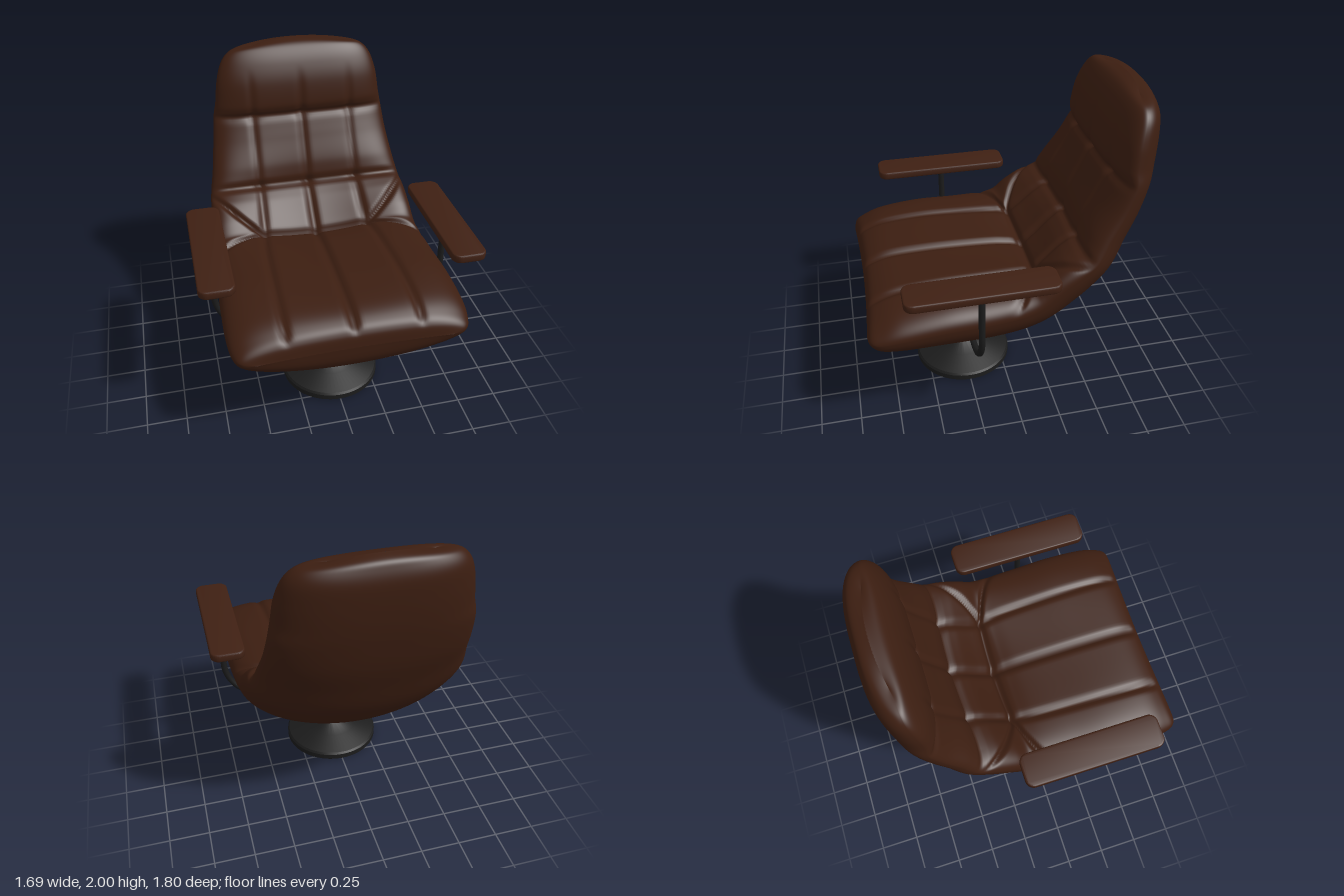
import * as THREE from 'three';
import { mergeVertices, toCreasedNormals } from 'three/addons/utils/BufferGeometryUtils.js';

const leather = new THREE.MeshStandardMaterial({ color: 0x3c1e11 });
const wood = new THREE.MeshStandardMaterial({ color: 0x3f2013 });
const metal = new THREE.MeshStandardMaterial({ color: 0x1b1b1b });
const POST_Z = 0.25;

// Stations from the front lip to the head:
// half width, inner z, inner y, outer z, outer y, forward lift of the side wings
const STATIONS = [
  [0.58, 0.90, 0.74, 0.90, 0.74, 0],
  [0.66, 0.885, 0.82, 0.885, 0.63, 0],
  [0.70, 0.83, 0.87, 0.82, 0.545, 0],
  [0.72, 0.70, 0.905, 0.68, 0.50, 0.02],
  [0.72, 0.45, 0.915, 0.45, 0.473, 0.05],
  [0.71, 0.20, 0.91, 0.20, 0.463, 0.06],
  [0.70, 0.02, 0.90, 0.03, 0.47, 0.08],
  [0.69, -0.08, 0.885, -0.12, 0.495, 0.11],
  [0.685, -0.15, 0.875, -0.28, 0.555, 0.15],
  [0.68, -0.23, 0.94, -0.43, 0.65, 0.155],
  [0.672, -0.32, 1.03, -0.57, 0.78, 0.125],
  [0.655, -0.41, 1.115, -0.685, 0.95, 0.08],
  [0.625, -0.455, 1.25, -0.765, 1.15, 0.04],
  [0.60, -0.525, 1.40, -0.825, 1.32, 0.01],
  [0.58, -0.585, 1.54, -0.865, 1.50, 0],
  [0.56, -0.575, 1.62, -0.885, 1.63, 0],
  [0.54, -0.595, 1.76, -0.895, 1.76, 0],
  [0.505, -0.635, 1.87, -0.895, 1.87, 0],
  [0.45, -0.68, 1.945, -0.875, 1.945, 0],
  [0.38, -0.725, 1.985, -0.85, 1.983, 0],
  [0.28, -0.79, 2.0, -0.79, 2.0, 0],
];

const lerp = THREE.MathUtils.lerp;
const smooth = THREE.MathUtils.smoothstep;
const groove = (d, width) => Math.exp(-((d / width) ** 2));

// Catmull-Rom blend of the station values at s
function station(s) {
  const last = STATIONS.length - 1;
  const i = Math.min(Math.floor(s), last - 1), t = s - i;
  const at = (k) => STATIONS[THREE.MathUtils.clamp(k, 0, last)];
  const [a, b, c, d] = [at(i - 1), at(i), at(i + 1), at(i + 2)];
  return b.map((v, k) => 0.5 * (2 * v + (c[k] - a[k]) * t
    + (2 * a[k] - 5 * v + 4 * c[k] - d[k]) * t * t
    + (3 * v - a[k] - 3 * c[k] + d[k]) * t * t * t));
}

// Depth of the stitched seams in the upholstery at station s, offset x
function seamDepth(s, x) {
  const ax = Math.abs(x);
  const sideSeam = lerp(0.40, 0.33, smooth(s, 2, 11));
  const fade = smooth(s, 0.5, 2.5) * (1 - smooth(s, 14.5, 17));
  const backFade = lerp(1, 0.55, smooth(s, 9, 12));
  let depth = fade * backFade * (0.03 * groove(x, 0.025) + 0.022 * groove(ax - sideSeam, 0.025));
  // Seat-to-back seam, forking into two pleats at each corner
  const out = Math.max(0, ax - 0.36);
  depth += 0.03 * (out > 0
    ? Math.max(groove(s - 8 + out * 6, 0.25), groove(s - 8 - out * 9, 0.25))
    : groove(s - 8, 0.25));
  // Lumbar and head seams, pulled in further at the tufting points
  const tuft = groove(x, 0.05) + groove(ax - 0.33, 0.05);
  depth += (0.024 + 0.012 * tuft) * groove(s - 11, 0.2);
  depth += (0.016 + 0.012 * tuft) * groove(s - 14, 0.2);
  return depth;
}

// Padded one-piece seat and back, lofted from closed sections
function shellGeometry() {
  const rows = 180, innerN = 120, outerN = 40, ring = innerN + outerN;
  const pos = [], index = [];
  for (let i = 0; i <= rows; i++) {
    const s = (i / rows) * (STATIONS.length - 1);
    const [w, iz, iy, oz, oy, lift] = station(s);
    const len = Math.hypot(iz - oz, iy - oy);
    const nz = len > 1e-5 ? (iz - oz) / len : 0, ny = len > 1e-5 ? (iy - oy) / len : 0;
    const ez = lerp(iz, oz, 0.35) + nz * lift * 0.75, ey = lerp(iy, oy, 0.35) + ny * lift * 0.75;
    const cushion = Math.min(1, len / 0.2);
    const lip = 0.02 * (1 - smooth(s, 1, 4));
    const crown = 0.03 * smooth(s, 17, 20);
    const backPower = lerp(2, 3, smooth(s, 11, 16));
    for (let j = 0; j < ring; j++) {
      const inner = j < innerN;
      const a = inner ? (j / innerN - 0.5) * Math.PI : (0.5 - (j - innerN) / outerN) * Math.PI;
      const u = Math.sin(a), x = w * u;
      const h = Math.sqrt(Math.max(0, 1 - Math.abs(u) ** (inner ? 4.2 : backPower)));
      const wing = inner ? lift * u * u * h : 0;
      const push = inner ? wing - seamDepth(s, x) * cushion * Math.min(1, h * 1.3) : 0;
      // The lip dips in at the middle; the crown falls away to its corners
      pos.push(x, lerp(ey, inner ? iy : oy, h) + ny * push - crown * u * u,
        lerp(ez, inner ? iz : oz, h) + nz * push - lip * (1 - u * u) + crown * u * u);
    }
  }
  for (let i = 0; i < rows; i++) {
    for (let j = 0; j < ring; j++) {
      const k = (j + 1) % ring;
      const a = i * ring + j, b = i * ring + k, c = a + ring, d = b + ring;
      index.push(a, b, c, b, d, c);
    }
  }
  let g = new THREE.BufferGeometry();
  g.setAttribute('position', new THREE.Float32BufferAttribute(pos, 3));
  g.setIndex(index);
  g = mergeVertices(g, 1e-5);
  g.computeVertexNormals();
  return g;
}

// Flat slab with rounded corners and a softened rim, centred on the origin
function slab(width, depth, height, radius, bevel) {
  const x = width / 2 - bevel, y = depth / 2 - bevel, r = radius;
  const shape = new THREE.Shape();
  shape.absarc(x - r, y - r, r, 0, Math.PI / 2);
  shape.absarc(r - x, y - r, r, Math.PI / 2, Math.PI);
  shape.absarc(r - x, r - y, r, Math.PI, Math.PI * 1.5);
  shape.absarc(x - r, r - y, r, Math.PI * 1.5, Math.PI * 2);
  shape.closePath();
  const g = new THREE.ExtrudeGeometry(shape, {
    depth: height - 2 * bevel, bevelThickness: bevel, bevelSize: bevel, bevelSegments: 3, curveSegments: 8,
  });
  return toCreasedNormals(g.rotateX(-Math.PI / 2).translate(0, bevel - height / 2, 0), 0.6);
}

export function createModel() {
  const chair = new THREE.Group();
  chair.name = 'loungeChair';
  const add = (name, geometry, material, x = 0, y = 0, z = 0) => {
    const mesh = new THREE.Mesh(geometry, material);
    mesh.name = name;
    mesh.position.set(x, y, z);
    chair.add(mesh);
  };

  add('paddedShell', shellGeometry(), leather);

  // Armrests with their mounting strips
  for (const [side, label] of [[1, 'left'], [-1, 'right']]) {
    add(label + 'Armrest', slab(0.21, 0.885, 0.05, 0.045, 0.01), wood, side * 0.74, 1.105, 0.247);
    add(label + 'ArmrestStrip', new THREE.BoxGeometry(0.045, 0.02, 0.8), metal, side * 0.74, 1.072, 0.245);
  }

  // One bent tube carries both arms
  const v = (x, y) => new THREE.Vector3(x, y, 0);
  const bend = [];
  for (let i = 0; i <= 12; i++) {
    const a = (i / 12) * Math.PI / 2;
    bend.push(v(0.44 + 0.3 * Math.cos(a), 0.76 - 0.3 * Math.sin(a)));
  }
  const half = [v(0.74, 1.07), v(0.74, 0.92), ...bend, v(0.22, 0.46)];
  const path = new THREE.CatmullRomCurve3(
    [...half, ...half.map((p) => v(-p.x, p.y)).reverse()], false, 'centripetal');
  add('armTube', new THREE.TubeGeometry(path, 120, 0.02, 12), metal, 0, 0, POST_Z);

  // Mounting plate, column and round foot
  add('mountingPlate', slab(0.295, 0.295, 0.045, 0.02, 0.008), metal, 0, 0.452, 0.245);
  add('column', new THREE.CylinderGeometry(0.05, 0.05, 0.34, 24), metal, 0, 0.28, POST_Z);
  const foot = [[0, 0], [0.31, 0], [0.32, 0.01], [0.32, 0.045], [0.31, 0.058],
    [0.18, 0.1], [0.07, 0.135], [0.055, 0.145], [0, 0.145]];
  const footGeometry = new THREE.LatheGeometry(foot.map(([r, y]) => new THREE.Vector2(r, y)), 64);
  add('foot', toCreasedNormals(footGeometry, 0.6), metal, 0, 0, POST_Z);

  return chair;
}
